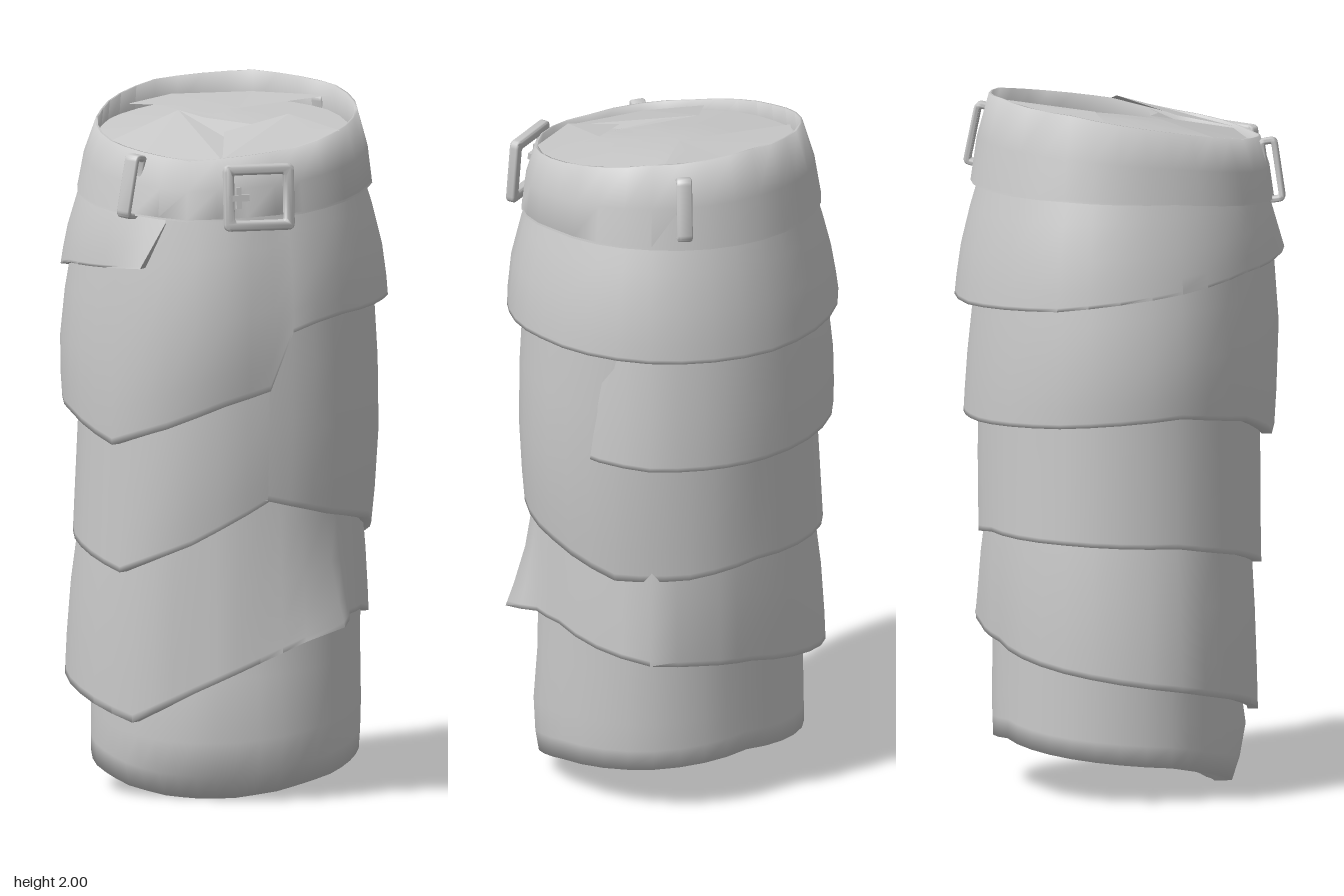
import * as THREE from 'three';
import { toCreasedNormals } from 'three/addons/utils/BufferGeometryUtils.js';

const cloth = new THREE.MeshStandardMaterial({ color: 0xc8c8c8, side: THREE.DoubleSide });
cloth.name = 'grey cloth';

function mesh(name, geometry) {
  const m = new THREE.Mesh(geometry, cloth);
  m.name = name;
  return m;
}

// Cloth strip wound around the y axis.
// points: [angle from front, top y, bottom y, top radius, bottom radius, bulge]
// rows:   [position down the strip, share of bulge, radius offset]
const HEM = [[0, 0, 0], [0.3, 0.75, 0], [0.6, 1, 0], [0.85, 0.5, 0], [0.97, 0.1, 0], [1, 0, 0], [1, 0, -0.03]];
function wrap(name, points, rows = HEM) {
  const columns = [];
  points.slice(0, -1).forEach((p, k) => {
    const q = points[k + 1];
    const n = Math.ceil((q[0] - p[0]) / 12);
    for (let i = 0; i < n; i++) columns.push(p.map((v, c) => THREE.MathUtils.lerp(v, q[c], i / n)));
  });
  columns.push(points[points.length - 1]);
  const pos = [], index = [], R = rows.length;
  columns.forEach(([deg, yT, yB, rT, rB, bulge], i) => {
    const a = THREE.MathUtils.degToRad(deg);
    rows.forEach(([t, share, offset], j) => {
      const r = Math.max(0, THREE.MathUtils.lerp(rT, rB, t) + bulge * share + offset);
      pos.push(r * Math.sin(a), THREE.MathUtils.lerp(yT, yB, t), r * Math.cos(a));
      if (i && j) {
        const d = i * R + j, b = d - R;
        index.push(b - 1, b, d - 1, b, d, d - 1);
      }
    });
  });
  const g = new THREE.BufferGeometry();
  g.setAttribute('position', new THREE.Float32BufferAttribute(pos, 3));
  g.setIndex(index);
  return mesh(name, toCreasedNormals(g, 1.7));
}

// Flat-ish cloth scrap from a few corners
function flap(name, corners) {
  const pos = [];
  for (let i = 1; i < corners.length - 1; i++) pos.push(...corners[0], ...corners[i], ...corners[i + 1]);
  const g = new THREE.BufferGeometry();
  g.setAttribute('position', new THREE.Float32BufferAttribute(pos, 3));
  g.computeVertexNormals();
  return mesh(name, g);
}

// Rectangular ring with rounded corners, facing +z
function frame(name, w, h, bar, depth) {
  const rect = (target, x, y, r) => {
    target.moveTo(-x + r, -y);
    target.lineTo(x - r, -y).quadraticCurveTo(x, -y, x, -y + r);
    target.lineTo(x, y - r).quadraticCurveTo(x, y, x - r, y);
    target.lineTo(-x + r, y).quadraticCurveTo(-x, y, -x, y - r);
    target.lineTo(-x, -y + r).quadraticCurveTo(-x, -y, -x + r, -y);
    return target;
  };
  const s = rect(new THREE.Shape(), w / 2, h / 2, 0.02);
  s.holes.push(rect(new THREE.Path(), w / 2 - bar, h / 2 - bar, 0.004));
  const g = new THREE.ExtrudeGeometry(s, {
    depth: depth - 0.016, bevelThickness: 0.008, bevelSize: 0.008, bevelOffset: -0.008, bevelSegments: 3, curveSegments: 4,
  });
  g.translate(0, 0, 0.008 - depth / 2);
  return mesh(name, toCreasedNormals(g, 0.9));
}

// Belt loop: a narrow strap standing off the belt, turned on its side
function beltLoop(name, x, y, z, lean, roll) {
  const holder = new THREE.Group();
  holder.name = name;
  const strap = frame(name + 'Strap', 0.055, 0.185, 0.018, 0.045);
  strap.rotation.y = Math.PI / 2;
  const face = mesh(name + 'Face', new THREE.BoxGeometry(0.036, 0.15, 0.012));
  face.position.z = 0.016;
  holder.add(strap, face);
  holder.position.set(x, y, z);
  holder.rotation.set(lean, Math.atan2(x, z), roll, 'YXZ');
  return holder;
}

export function createModel() {
  const model = new THREE.Group();
  model.name = 'wrappedSleeve';

  // Lowest sleeve with a curled rim and a shallow hollow underneath
  model.add(wrap('baseSleeve', [
    [0, 0.7, 0, 0.33, 0.29, 0.06], [20, 0.7, 0.004, 0.34, 0.3, 0.055], [40, 0.7, 0.025, 0.36, 0.345, 0.035],
    [65, 0.7, 0.065, 0.39, 0.39, 0.015], [90, 0.7, 0.1, 0.395, 0.39, 0.005], [135, 0.7, 0.125, 0.385, 0.38, 0.005],
    [180, 0.7, 0.15, 0.335, 0.35, 0], [225, 0.7, 0.125, 0.36, 0.37, 0], [270, 0.7, 0.1, 0.375, 0.38, 0],
    [295, 0.7, 0.065, 0.36, 0.365, 0.005], [320, 0.7, 0.025, 0.335, 0.33, 0.02], [340, 0.7, 0.004, 0.33, 0.295, 0.05],
    [360, 0.7, 0, 0.33, 0.29, 0.06],
  ], [[0, 0, 0], [0.5, 0.3, 0], [0.76, 1, 0], [0.9, 0.7, 0], [1, 0, 0], [1, 0, -0.03], [0.72, 0.3, -0.045], [0.68, 0, -1]]));

  // Lower wrap with a pulled-out corner on the left
  model.add(wrap('lowerWrap', [
    [0, 0.95, 0.31, 0.345, 0.355, 0], [30, 0.95, 0.4, 0.365, 0.375, 0], [48, 0.95, 0.46, 0.385, 0.42, 0],
    [60, 0.95, 0.5, 0.39, 0.48, -0.02], [74, 0.95, 0.52, 0.39, 0.415, 0], [90, 0.95, 0.52, 0.39, 0.405, 0],
    [112, 0.95, 0.49, 0.385, 0.42, 0.005], [135, 0.95, 0.47, 0.38, 0.45, 0.005], [155, 0.95, 0.45, 0.36, 0.4, 0.01],
    [180, 0.95, 0.43, 0.35, 0.375, 0.01], [225, 0.95, 0.38, 0.37, 0.425, 0.01], [270, 0.95, 0.33, 0.38, 0.46, 0.015],
    [300, 0.95, 0.28, 0.375, 0.425, 0.01], [332, 0.95, 0.22, 0.355, 0.39, 0.005], [360, 0.95, 0.31, 0.345, 0.355, 0],
  ]));

  // Middle wrap, beginning at the upright edge on the front
  model.add(wrap('middleWrap', [
    [32, 1.45, 0.87, 0.41, 0.405, 0.01], [60, 1.45, 0.82, 0.43, 0.425, 0.015], [90, 1.45, 0.78, 0.435, 0.425, 0.02],
    [120, 1.42, 0.71, 0.42, 0.42, 0.015], [150, 1.3, 0.72, 0.405, 0.41, 0.005], [180, 1.2, 0.75, 0.395, 0.4, 0],
    [225, 1.2, 0.75, 0.4, 0.425, 0], [270, 1.25, 0.74, 0.405, 0.43, 0], [300, 1.25, 0.7, 0.4, 0.42, 0],
    [327, 1.2, 0.65, 0.39, 0.405, 0], [360, 1.25, 0.74, 0.385, 0.375, 0.01], [396, 1.3, 0.87, 0.375, 0.375, 0.01],
  ]));

  // Upper wrap, winding up the hips in one long strip
  model.add(wrap('upperWrap', [
    [95, 1.5, 1.08, 0.4, 0.42, 0], [115, 1.5, 1.075, 0.405, 0.445, 0.005], [135, 1.5, 1.07, 0.415, 0.46, 0.005],
    [155, 1.5, 1.07, 0.41, 0.45, 0.005], [180, 1.5, 1.07, 0.41, 0.44, 0.005], [225, 1.5, 1.09, 0.42, 0.455, 0.01],
    [270, 1.55, 1.12, 0.43, 0.46, 0.02], [300, 1.58, 1.09, 0.42, 0.45, 0.015], [327, 1.65, 1.02, 0.405, 0.435, 0.015],
    [352, 1.76, 1.08, 0.41, 0.435, 0.03], [375, 1.78, 1.15, 0.41, 0.43, 0.04], [392, 1.78, 1.19, 0.405, 0.43, 0.035],
    [399, 1.78, 1.36, 0.4, 0.465, 0.02], [408, 1.78, 1.385, 0.395, 0.475, 0.02], [420, 1.78, 1.4, 0.39, 0.47, 0.02],
    [450, 1.78, 1.41, 0.39, 0.468, 0.015], [495, 1.78, 1.41, 0.395, 0.478, 0.015], [540, 1.78, 1.41, 0.4, 0.472, 0.01],
    [585, 1.78, 1.43, 0.395, 0.472, 0.01], [630, 1.78, 1.48, 0.385, 0.465, 0.01], [660, 1.78, 1.52, 0.385, 0.455, 0.01],
    [685, 1.78, 1.53, 0.39, 0.45, 0.01], [703, 1.78, 1.54, 0.395, 0.465, 0], [711, 1.78, 1.67, 0.395, 0.43, 0],
  ]));

  // Waist belt, higher at the back
  model.add(wrap('belt', [
    [0, 1.85, 1.68, 0.41, 0.445, 0], [45, 1.88, 1.695, 0.395, 0.435, 0], [90, 1.93, 1.73, 0.385, 0.425, 0],
    [135, 1.98, 1.74, 0.38, 0.43, 0], [180, 2, 1.74, 0.375, 0.43, 0], [225, 1.98, 1.74, 0.37, 0.425, 0],
    [270, 1.93, 1.73, 0.355, 0.41, 0], [315, 1.88, 1.695, 0.375, 0.425, 0], [360, 1.85, 1.68, 0.41, 0.445, 0],
  ], [[0.4, 0, -0.02], [0, 0, -0.006], [0, 0, 0], [0.5, 0, 0.008], [0.97, 0, 0], [1, 0, 0], [1, 0, -0.03]]));

  // Lid closing the waist, with crumpled flaps on it
  const lid = [0, 45, 90, 135, 180, 225, 270, 315, 360].map((d) => {
    const c = Math.cos(THREE.MathUtils.degToRad(d));
    return [d, 1.915, 1.88 - 0.045 * c, 0, 0.365 + 0.02 * c, 0];
  });
  model.add(wrap('waistLid', lid, [[0, 0, 0], [0.5, 0, 0], [1, 0, 0]]));
  model.add(flap('backFlap', [
    [0.03, 1.935, -0.07], [0.07, 1.94, -0.15], [0.25, 1.95, -0.27], [0, 1.94, -0.36], [-0.22, 1.935, -0.29], [-0.31, 1.925, -0.14],
  ]));
  model.add(flap('frontFlap', [
    [-0.12, 1.94, 0.04], [-0.28, 1.87, 0.23], [-0.15, 1.85, 0.34], [0.09, 1.85, 0.38], [0.05, 1.89, 0.19], [0.12, 1.92, 0.13], [-0.03, 1.93, 0.1],
  ]));
  model.add(flap('sideFlap', [
    [0.21, 1.945, 0.07], [0.05, 1.905, 0.19], [0.09, 1.855, 0.38], [0.28, 1.87, 0.27], [0.37, 1.91, 0.12], [0.29, 1.915, 0.14],
  ]));

  // Buckle with its prong
  const buckle = new THREE.Group();
  buckle.name = 'buckle';
  const prong = mesh('buckleProng', new THREE.BoxGeometry(0.06, 0.018, 0.018));
  prong.position.set(-0.06, 0, 0.006);
  const bar = mesh('buckleBar', new THREE.BoxGeometry(0.015, 0.06, 0.015));
  bar.position.set(-0.06, 0, 0.004);
  buckle.add(frame('buckleFrame', 0.205, 0.19, 0.03, 0.03), prong, bar);
  buckle.position.set(0.205, 1.755, 0.418);
  buckle.rotation.set(-0.08, 0.47, 0, 'YXZ');
  model.add(buckle);

  // Belt loops front and back
  model.add(beltLoop('frontBeltLoop', -0.172, 1.77, 0.392, -0.15, -0.08));
  model.add(beltLoop('backBeltLoop', 0.22, 1.86, -0.348, -0.2, 0));
  return model;
}
